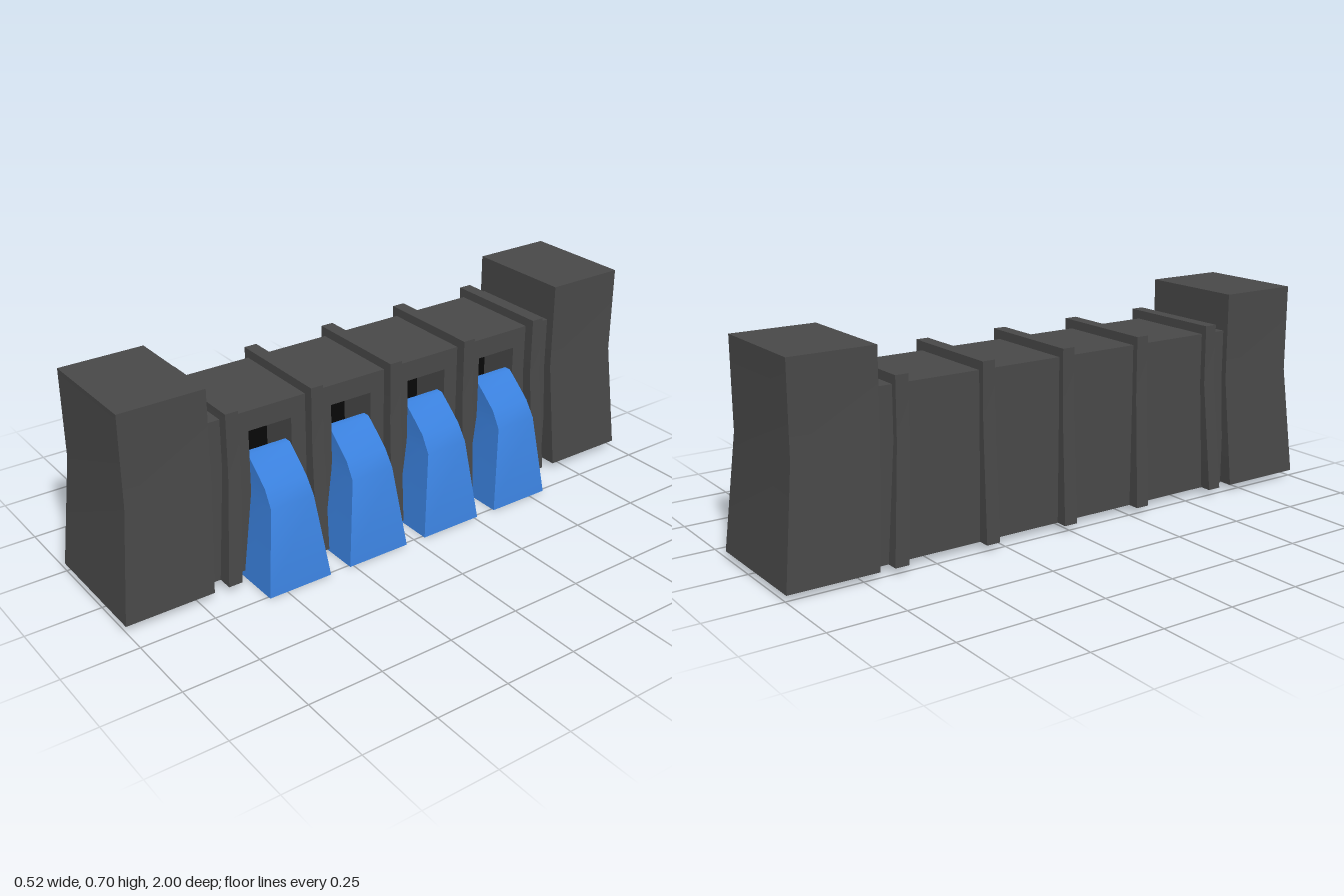
import * as THREE from 'three';
import { toCreasedNormals } from 'three/addons/utils/BufferGeometryUtils.js';

// Stacks rectangular sections [y, x0, x1, z0, z1] into a closed solid.
function loft(sections, crease) {
  const pos = [], idx = [];
  for (const [y, x0, x1, z0, z1] of sections) {
    pos.push(x0, y, z0, x0, y, z1, x1, y, z1, x1, y, z0);
  }
  for (let s = 0; s < sections.length - 1; s++) {
    for (let i = 0; i < 4; i++) {
      const a = s * 4 + i, b = s * 4 + (i + 1) % 4;
      idx.push(a, b, b + 4, a, b + 4, a + 4);
    }
  }
  const t = (sections.length - 1) * 4;
  idx.push(t, t + 1, t + 2, t, t + 2, t + 3, 0, 2, 1, 0, 3, 2);
  const g = new THREE.BufferGeometry();
  g.setAttribute('position', new THREE.Float32BufferAttribute(pos, 3));
  g.setIndex(idx);
  return toCreasedNormals(g, crease);
}

export function createModel() {
  const group = new THREE.Group();
  const mat = (name, color) => {
    const m = new THREE.MeshStandardMaterial({ color });
    m.name = name;
    return m;
  };
  const concrete = mat('concrete', 0x484848);
  const water = mat('water', 0x3a80dc);
  const dark = mat('darkOpening', 0x080808);
  const add = (name, geometry, material) => {
    const m = new THREE.Mesh(geometry, material);
    m.name = name;
    group.add(m);
    return m;
  };
  const base = 0.022, knee = 0.4;
  const bays = [-0.45, -0.15, 0.15, 0.45];

  // End towers, flared at the foot
  for (const s of [-1, 1]) {
    const sec = (y, x0, x1, a, b) => [y, x0, x1, Math.min(s * a, s * b), Math.max(s * a, s * b)];
    add(s > 0 ? 'frontTower' : 'backTower', loft([
      sec(base, -0.26, 0.162, 0.70, 1.0),
      sec(knee, -0.24, 0.14, 0.677, 0.96),
      sec(0.697, -0.24, 0.14, 0.677, 0.96),
    ], 0.6), concrete);
  }

  // Wall: solid rear and a front layer pierced by the spillway openings
  const rear = add('rearWall', new THREE.BoxGeometry(0.18, 0.57 - base, 1.38), concrete);
  rear.position.set(-0.13, (0.57 + base) / 2, 0);
  const face = new THREE.Shape();
  face.moveTo(-0.69, base).lineTo(0.69, base).lineTo(0.69, 0.57).lineTo(-0.69, 0.57).closePath();
  for (const z of bays) {
    const hole = new THREE.Path();
    hole.moveTo(z - 0.076, 0.3).lineTo(z - 0.076, 0.503).lineTo(z + 0.076, 0.503).lineTo(z + 0.076, 0.3).closePath();
    face.holes.push(hole);
  }
  const wall = new THREE.ExtrudeGeometry(face, { depth: 0.15, bevelEnabled: false });
  wall.rotateY(Math.PI / 2);
  add('frontWall', wall, concrete).position.x = -0.04;

  // Ribs wrapping the wall; the outermost lean outward at the foot
  for (let i = -2; i <= 2; i++) {
    const z = i * 0.3, lean = Math.abs(i) === 2 ? Math.sign(i) * 0.025 : 0;
    add('rib', loft([
      [base, -0.26, 0.162, z + lean - 0.024, z + lean + 0.024],
      [knee, -0.24, 0.145, z - 0.022, z + 0.022],
      [0.6, -0.24, 0.145, z - 0.022, z + 0.022],
    ], 0.6), concrete);
  }

  // Dark opening backs and the water pouring from them
  for (const z of bays) {
    const back = add('openingBack', new THREE.BoxGeometry(0.006, 0.2, 0.15), dark);
    back.position.set(-0.036, 0.402, z);
    const sec = (y, x1, h) => [y, 0.075, x1, z - h, z + h];
    add('waterfall', loft([
      sec(0, 0.26, 0.113),
      sec(0.285, 0.225, 0.077),
      sec(0.34, 0.19, 0.075),
      sec(0.38, 0.145, 0.075),
      sec(0.418, 0.1, 0.075),
    ], 0.9), water);
  }
  return group;
}
